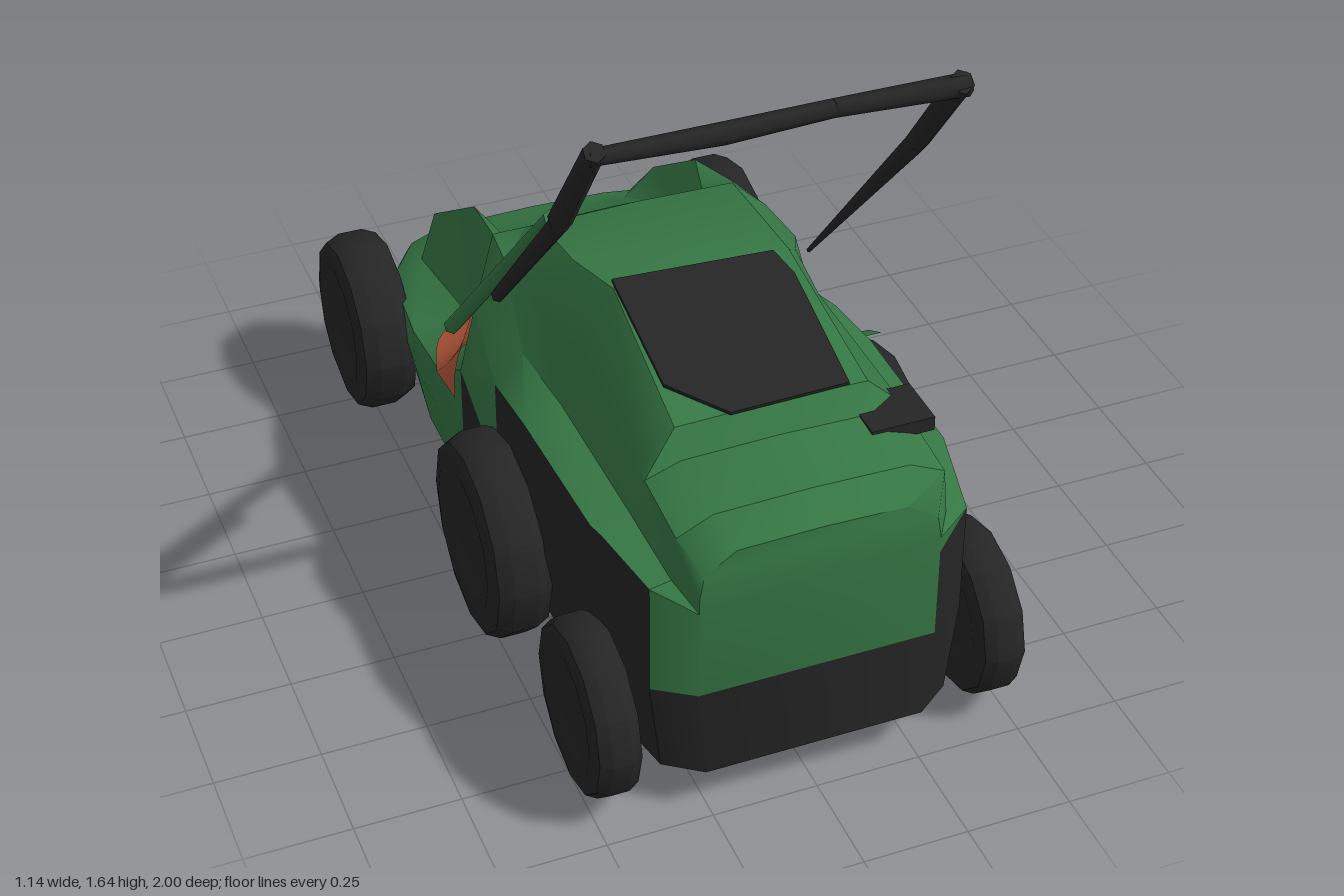
import * as THREE from 'three';
import { toCreasedNormals } from 'three/addons/utils/BufferGeometryUtils.js';

// Body stations, nose to tail: z, skirt half-width, skirt top, ledge x, ledge y, shoulder x, shoulder y, roof y
const STATIONS = [
  [0.98, 0.28, 0.58, 0.28, 0.62, 0.27, 0.68, 0.73],
  [0.92, 0.37, 0.63, 0.32, 0.64, 0.31, 0.75, 0.79],
  [0.74, 0.41, 0.65, 0.33, 0.66, 0.31, 0.77, 0.80],
  [0.70, 0.42, 0.65, 0.33, 0.66, 0.31, 0.78, 0.86],
  [0.30, 0.43, 0.64, 0.34, 0.67, 0.29, 0.81, 0.955],
  [0.10, 0.43, 0.61, 0.36, 0.68, 0.32, 0.80, 0.91],
  [-0.10, 0.45, 0.52, 0.41, 0.69, 0.33, 0.80, 0.885],
  [-0.25, 0.46, 0.42, 0.34, 0.50, 0.31, 0.78, 0.78],
  [-0.45, 0.46, 0.40, 0.32, 0.42, 0.29, 0.73, 0.62],
  [-0.76, 0.42, 0.35, 0.34, 0.39, 0.30, 0.52, 0.445],
  [-0.88, 0.35, 0.33, 0.33, 0.36, 0.28, 0.38, 0.39],
];

// Half-outline of a station, from the bottom edge up to the roof edge
function halfOutline([z, w, top, lx, ly, sx, sy, roof]) {
  const floor = 0.12 + Math.max(0, -z - 0.7) * 0.45;
  return [[0.93 * w, floor, z], [w, z > 0 ? 0.35 : 0.29, z], [w, top, z], [lx, ly, z], [sx, sy, z], [0.73 * sx, roof, z]];
}

// Full ring of 13 points: left half, roof centre, mirrored half
function ring(station) {
  const half = halfOutline(station);
  const mirrored = half.map(([x, y, z]) => [-x, y, z]).reverse();
  return [...half, [0, station[7] + 0.005, station[0]], ...mirrored];
}

function geometryFrom(points) {
  const g = new THREE.BufferGeometry();
  g.setAttribute('position', new THREE.Float32BufferAttribute(points.flat(), 3));
  return toCreasedNormals(g, 0.7);
}

// Thin horizontal plate from x,z corners
function plate(corners) {
  const shape = new THREE.Shape(corners.map(c => new THREE.Vector2(...c)));
  return new THREE.ExtrudeGeometry(shape, { depth: 0.009, bevelEnabled: false }).rotateX(Math.PI / 2);
}

// Half-width of the body flank at a given z and y
function flankX(z, y) {
  const k = STATIONS.findIndex(s => s[0] <= z);
  const a = STATIONS[k - 1], b = STATIONS[k];
  const t = (a[0] - z) / (a[0] - b[0]);
  const half = halfOutline(a.map((v, i) => v + (b[i] - v) * t));
  const n = half.findIndex(p => p[1] >= y);
  const [p, q] = [half[n - 1], half[n]];
  return p[0] + (q[0] - p[0]) * (y - p[1]) / (q[1] - p[1]);
}

export function createModel() {
  const model = new THREE.Group();
  const mat = (name, color) => {
    const m = new THREE.MeshStandardMaterial({ color });
    m.name = name;
    return m;
  };
  const green = mat('green', 0x367845);
  const black = mat('black', 0x252526);
  const orange = mat('orange', 0xb5593a);
  orange.side = THREE.DoubleSide;
  const add = (name, geometry, material, x = 0, y = 0, z = 0) => {
    const m = new THREE.Mesh(geometry, material);
    m.name = name;
    m.position.set(x, y, z);
    model.add(m);
    return m;
  };

  // Body loft, split into green shell and black skirt
  const rings = STATIONS.map(ring);
  const shell = [], skirt = [];
  for (let j = 0; j < rings.length - 1; j++) {
    for (let i = 0; i < 13; i++) {
      const n = (i + 1) % 13;
      const a = rings[j][i], b = rings[j + 1][i], c = rings[j][n], d = rings[j + 1][n];
      const level = Math.min(i, 11 - i); // -1 underside, 0 and 1 walls, higher is hood
      const greenCorner = j === 0 && i === 10;
      const dark = level < 0 || (level < 2 && j < 5 && !greenCorner);
      (dark ? skirt : shell).push(a, b, c);
      // the black wall ends in a diagonal beside the middle wheel
      (dark || (j === 5 && i === 10) ? skirt : shell).push(b, d, c);
    }
  }
  // Nose and tail caps
  for (const [r, front] of [[rings[0], true], [rings[rings.length - 1], false]]) {
    for (let i = 0; i < 6; i++) {
      const tris = [[r[12 - i], r[i], r[i + 1]]];
      if (i < 5) tris.push([r[12 - i], r[i + 1], r[11 - i]]);
      for (const t of tris) (front && i === 0 ? skirt : shell).push(...(front ? t : t.reverse()));
    }
  }
  add('bodyShell', geometryFrom(shell), green);
  add('bodySkirt', geometryFrom(skirt), black);

  // Vent cover on the sloping hood and its latch
  const ventOutline = [[-0.21, -0.22], [0.17, -0.2], [0.19, -0.12], [0.18, 0.21], [-0.1, 0.215], [-0.21, 0.1]];
  const vent = add('hoodVent', plate(ventOutline), black, 0, 0.921, 0.5);
  vent.rotation.x = 0.233;
  add('hoodLatch', new THREE.BoxGeometry(0.15, 0.035, 0.13), black, 0.265, 0.787, 0.74);

  // Green wedge under the deck
  add('underPlate', plate([[0.24, 0.06], [-0.42, 0.1], [-0.42, -0.14]]), green, 0, 0.12, 0);

  // Orange patches set into the recessed flanks
  for (const [side, z0, z1] of [[1, -0.2, -0.59], [-1, -0.12, -0.44]]) {
    const at = (u, v) => {
      const z = z0 + (z1 - z0) * u;
      const y = 0.425 + (0.225 * (1 - u) ** 0.8 + 0.005) * v;
      return [side * (flankX(z, y) + 0.009), y, z];
    };
    const pts = [];
    for (let i = 0; i < 8; i++) {
      for (let k = 0; k < 4; k++) {
        const a = at(i / 8, k / 4), b = at((i + 1) / 8, k / 4);
        const c = at(i / 8, (k + 1) / 4), d = at((i + 1) / 8, (k + 1) / 4);
        pts.push(...(side > 0 ? [a, b, c, b, d, c] : [a, c, b, b, c, d]));
      }
    }
    add('flankPatch', geometryFrom(pts), orange);
  }

  // Low-poly wheels with rounded shoulders and a slightly dished hub
  const wheelGeometry = (r, w) => {
    const h = w / 2;
    const outer = [[r, h * 0.4], [r * 0.93, h * 0.85], [r * 0.72, h], [r * 0.5, h * 0.8], [0, h * 0.8]];
    const inner = outer.map(([x, y]) => [x, -y]).reverse();
    const g = new THREE.LatheGeometry([...inner, ...outer].map(p => new THREE.Vector2(...p)), 12);
    return toCreasedNormals(g.rotateZ(Math.PI / 2), 0.6);
  };
  for (const [name, r, w, x, y, z] of [
    ['rearWheel', 0.23, 0.155, 0.492, 0.235, -0.77],
    ['middleWheel', 0.25, 0.15, 0.48, 0.265, 0.2],
    ['frontWheel', 0.21, 0.115, 0.46, 0.225, 0.79],
  ]) {
    for (const s of [1, -1]) add(name, wheelGeometry(r, w), black, s * x, y, z);
    add(name + 'Axle', new THREE.CylinderGeometry(0.03, 0.03, 2 * x, 8).rotateZ(Math.PI / 2), black, 0, y, z);
  }
  const hub = add('hubPatch', new THREE.CylinderGeometry(0.09, 0.09, 0.008, 8).rotateZ(Math.PI / 2), green, 0.511, 0.21, 0.77);
  hub.scale.y = 0.55;

  // Green fenders over the back of the middle wheels
  for (const [s, start, end] of [[1, 110, 165], [-1, 140, 165]]) {
    const rad = Math.PI / 180;
    const fender = new THREE.CylinderGeometry(0.258, 0.258, 0.13, 3, 1, true, start * rad, (end - start) * rad);
    add('fender', fender.rotateZ(Math.PI / 2), green, s * 0.485, 0.265, 0.2);
  }

  // Push handle: tapered bars between points
  const bar = (name, p, q, r0, r1, material) => {
    const a = new THREE.Vector3(...p), b = new THREE.Vector3(...q);
    const dir = b.clone().sub(a);
    const m = add(name, new THREE.CylinderGeometry(r1, r0, dir.length(), 6), material);
    m.position.copy(a).addScaledVector(dir, 0.5);
    m.quaternion.setFromUnitVectors(new THREE.Vector3(0, 1, 0), dir.normalize());
  };
  bar('rightPostBack', [-0.445, 0.6, -0.17], [-0.422, 1.32, 0.5], 0.02, 0.018, green);
  bar('rightPost', [-0.425, 0.88, 0.13], [-0.42, 1.35, 0.56], 0.016, 0.024, black);
  bar('rightPostTop', [-0.42, 1.34, 0.545], [-0.42, 1.63, 0.755], 0.027, 0.024, black);
  bar('leftPost', [0.41, 0.7, -0.02], [0.39, 1.35, 0.55], 0.006, 0.026, black);
  bar('leftPostTop', [0.39, 1.35, 0.55], [0.38, 1.61, 0.75], 0.026, 0.028, black);
  bar('gripRight', [-0.43, 1.615, 0.75], [-0.14, 1.6, 0.74], 0.018, 0.024, black);
  bar('gripMiddle', [-0.14, 1.6, 0.74], [0.1, 1.605, 0.74], 0.024, 0.02, black);
  bar('gripLeft', [0.1, 1.605, 0.74], [0.4, 1.595, 0.74], 0.02, 0.026, black);

  return model;
}
